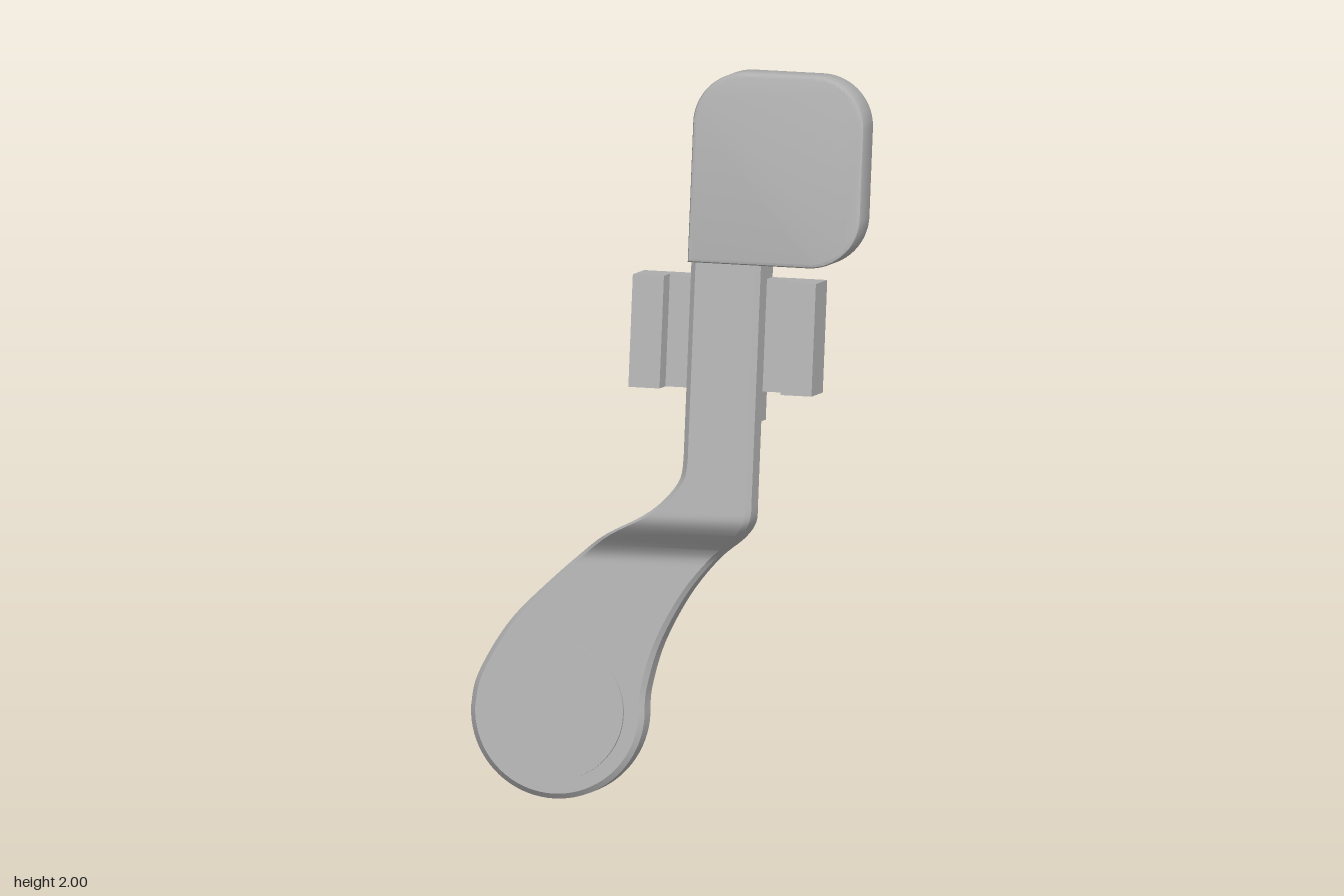
import * as THREE from 'three';
import { toCreasedNormals } from 'three/addons/utils/BufferGeometryUtils.js';

const CREASE = 0.5;

// Turns [height, offset] points into a smooth function of height, held constant past the ends
function profile(points) {
  const c = new THREE.SplineCurve(points.map(([v, u]) => new THREE.Vector2(v, u))).getPoints(160);
  return (v) => {
    if (v <= c[0].x) return c[0].y;
    for (let i = 1; i < c.length; i++) {
      if (v <= c[i].x) {
        const t = (v - c[i - 1].x) / (c[i].x - c[i - 1].x || 1);
        return THREE.MathUtils.lerp(c[i - 1].y, c[i].y, t);
      }
    }
    return c[c.length - 1].y;
  };
}

// Paddle and stem in one loft: round bottom, teardrop sides, S-bend forward into the stem
function leverGeometry() {
  const cu = -0.285, cv = 0.214, r = 0.237, bevel = 0.014, top = 1.455;
  const left = profile([[cv, cu - r], [0.3, -0.507], [0.435, -0.435], [0.543, -0.34], [0.68, -0.19],
    [0.754, -0.06], [0.802, 0.0], [0.86, 0.042], [0.92, 0.05]]);
  const right = profile([[cv, cu + r], [0.283, -0.046], [0.406, -0.015], [0.539, 0.05], [0.641, 0.127],
    [0.704, 0.2], [0.755, 0.236], [0.82, 0.24]]);
  const step = THREE.MathUtils.smoothstep;

  const stations = [];
  for (let i = 0; i < 20; i++) stations.push(cv - r * Math.cos((i / 20) * Math.PI / 2));
  for (let i = 0; i <= 48; i++) stations.push(cv + (0.92 - cv) * i / 48);
  stations.push(top);

  const rings = stations.map((v) => {
    const inArc = v < cv;
    const half = Math.sqrt(Math.max(0, r * r - (v - cv) ** 2));
    const l = inArc ? cu - half : left(v);
    const rt = inArc ? cu + half : right(v);
    const front = 0.21 + 0.105 * step(v, 0.63, 0.76);
    const back = 0.11 + 0.095 * step(v, 0.66, 0.79);
    const du = inArc ? bevel * half / r : bevel;
    const fv = inArc ? v + bevel * (cv - v) / r : v;
    return [[l, v, back], [l, v, front - bevel], [l + du, fv, front],
      [rt - du, fv, front], [rt, v, front - bevel], [rt, v, back]];
  });

  const pos = [];
  const n = 6;
  for (let i = 0; i < rings.length - 1; i++) {
    for (let j = 0; j < n; j++) {
      const k = (j + 1) % n;
      const a = rings[i][j], b = rings[i][k], c = rings[i + 1][k], d = rings[i + 1][j];
      pos.push(...a, ...b, ...c, ...a, ...c, ...d);
    }
  }
  const end = rings[rings.length - 1];
  for (let j = 1; j < n - 1; j++) pos.push(...end[0], ...end[j], ...end[j + 1]);
  const g = new THREE.BufferGeometry();
  g.setAttribute('position', new THREE.Float32BufferAttribute(pos, 3));
  return toCreasedNormals(g, CREASE);
}

// Head pad: three rounded corners and one square corner over the stem
function headGeometry() {
  const l = 0.05, rt = 0.518, b = 1.45, t = 1.967, r = 0.14, bevel = 0.01;
  const s = new THREE.Shape();
  s.moveTo(l, b);
  s.lineTo(rt - r, b);
  s.absarc(rt - r, b + r, r, -Math.PI / 2, 0, false);
  s.absarc(rt - r, t - r, r, 0, Math.PI / 2, false);
  s.absarc(l + r, t - r, r, Math.PI / 2, Math.PI, false);
  s.closePath();
  const g = new THREE.ExtrudeGeometry(s, {
    depth: 0.14 - 2 * bevel, curveSegments: 14,
    bevelThickness: bevel, bevelSize: bevel, bevelOffset: -bevel, bevelSegments: 2,
  });
  g.translate(0, 0, 0.225 + bevel);
  return toCreasedNormals(g, CREASE);
}

// Latch hook: prism with a concave slope rising to a point
function hookGeometry() {
  const s = new THREE.Shape();
  s.moveTo(0.05, 1.39);
  s.lineTo(0.238, 1.39);
  s.lineTo(0.238, 1.475);
  s.quadraticCurveTo(0.12, 1.485, 0.05, 1.58);
  s.closePath();
  const g = new THREE.ExtrudeGeometry(s, { depth: 0.12, bevelEnabled: false, curveSegments: 10 });
  g.translate(0, 0, 0.113);
  return toCreasedNormals(g, CREASE);
}

export function createModel() {
  const grey = new THREE.MeshStandardMaterial({ color: 0xb4b4b4 });
  grey.name = 'plain grey';

  const model = new THREE.Group();
  model.name = 'lever';
  // The whole lever leans back and is turned slightly to one side
  model.rotation.set(-0.21, -0.227, 0, 'YXZ');

  const add = (name, geometry, parent = model) => {
    const m = new THREE.Mesh(geometry, grey);
    m.name = name;
    parent.add(m);
    return m;
  };
  // Box given by its limits on each axis
  const box = (name, x0, x1, y0, y1, z0, z1, parent) =>
    add(name, new THREE.BoxGeometry(x1 - x0, y1 - y0, z1 - z0), parent)
      .position.set((x0 + x1) / 2, (y0 + y1) / 2, (z0 + z1) / 2);

  add('paddleAndStem', leverGeometry());
  add('headPad', headGeometry());

  // Thin round pad on the paddle
  const disc = add('paddleDisc', new THREE.CylinderGeometry(0.185, 0.185, 0.02, 64));
  disc.rotation.x = Math.PI / 2;
  disc.position.set(-0.287, 0.213, 0.212);

  // Channel clamp behind the stem with a jaw on each side
  const clamp = new THREE.Group();
  clamp.name = 'clamp';
  model.add(clamp);
  box('clampBack', -0.112, 0.388, 1.1, 1.403, 0.117, 0.195, clamp);
  box('rightJaw', -0.112, -0.027, 1.1, 1.403, 0.195, 0.281, clamp);
  box('leftJaw', 0.303, 0.388, 1.1, 1.403, 0.195, 0.281, clamp);

  // Latch strip between clamp and stem, ending in a hook above
  box('latchStrip', 0.05, 0.238, 1.02, 1.4, 0.13, 0.21);
  add('latchHook', hookGeometry());

  const root = new THREE.Group();
  root.name = 'model';
  root.add(model);
  return root;
}
